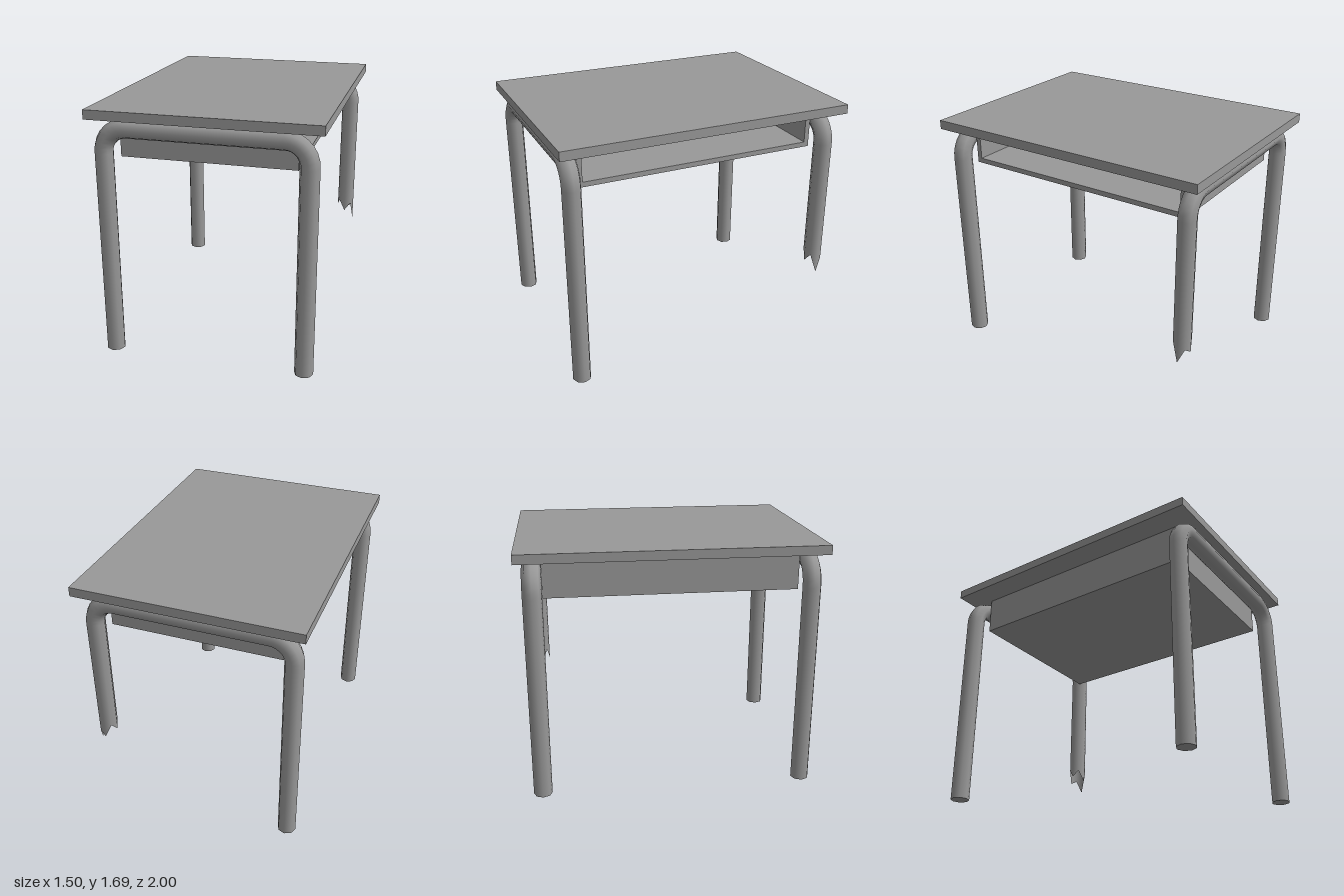
import * as THREE from 'three';

const R = 0.063, SIDES = 8, STEPS = 120;
const LEG_X = 0.6575, RAIL_Y = 1.56, BEND = 0.15, SHIFT = -0.005;

export function createModel() {
  const group = new THREE.Group();
  const mat = new THREE.MeshStandardMaterial({ color: 0x999999 });
  const openMat = new THREE.MeshStandardMaterial({ color: 0x999999, side: THREE.DoubleSide });

  const add = (parent, name, geo, material = mat) => {
    const mesh = new THREE.Mesh(geo, material);
    mesh.name = name;
    parent.add(mesh);
    return mesh;
  };
  // Box given by its lower and upper limits
  const box = (parent, name, [x0, x1], [y0, y1], [z0, z1]) =>
    add(parent, name, new THREE.BoxGeometry(x1 - x0, y1 - y0, z1 - z0))
      .position.set((x0 + x1) / 2, (y0 + y1) / 2, (z0 + z1) / 2);

  // Inverted-U tube from the right foot over the rail to the left end
  const frameTube = (leftEndY) => {
    const v = (x, y) => new THREE.Vector3(x, y, 0);
    const path = new THREE.CurvePath();
    const k = BEND * 0.5523, top = RAIL_Y, low = top - BEND, inX = LEG_X - BEND;
    path.add(new THREE.LineCurve3(v(-LEG_X, 0), v(-LEG_X, low)));
    path.add(new THREE.CubicBezierCurve3(v(-LEG_X, low), v(-LEG_X, low + k), v(-inX - k, top), v(-inX, top)));
    path.add(new THREE.LineCurve3(v(-inX, top), v(inX, top)));
    path.add(new THREE.CubicBezierCurve3(v(inX, top), v(inX + k, top), v(LEG_X, low + k), v(LEG_X, low)));
    path.add(new THREE.LineCurve3(v(LEG_X, low), v(LEG_X, leftEndY)));
    return new THREE.TubeGeometry(path, STEPS, R, SIDES, false);
  };
  const footCap = (parent, x) => {
    const cap = add(parent, 'footCap', new THREE.CircleGeometry(R, SIDES).rotateX(Math.PI / 2));
    cap.position.x = x;
  };

  // Table top
  box(group, 'tableTop', [-0.75, 0.75], [1.625, 1.687], [-1, 1]);

  // Storage tray under the top, open towards +x
  const tray = new THREE.Group();
  tray.name = 'storageTray';
  const X = [-0.577, 0.573], Y = [1.358, 1.625], Z = [-0.832, 0.845], t = 0.034, ceilY = 1.597;
  box(tray, 'trayFloor', X, [Y[0], Y[0] + t], Z);
  box(tray, 'trayCeiling', X, [ceilY, Y[1]], Z);
  box(tray, 'trayBackEnd', X, [Y[0] + t, ceilY], [Z[0], Z[0] + t]);
  box(tray, 'trayFrontEnd', X, [Y[0] + t, ceilY], [Z[1] - t, Z[1]]);
  box(tray, 'trayClosedSide', [X[0], X[0] + t], [Y[0] + t, ceilY], [Z[0] + t, Z[1] - t]);
  group.add(tray);

  // Front leg frame, whole
  const front = new THREE.Group();
  front.name = 'frontLegFrame';
  front.position.set(SHIFT, 0, 0.91);
  add(front, 'frontLegs', frameTube(0), openMat);
  footCap(front, -LEG_X);
  footCap(front, LEG_X);
  group.add(front);

  // Back leg frame, left leg snapped off with a jagged hollow end
  const back = new THREE.Group();
  back.name = 'backLegFrame';
  back.position.set(SHIFT, 0, -0.894);
  const geo = frameTube(0.6);
  const jag = [0.41, 0.51, 0.48, 0.58, 0.52, 0.57, 0.49, 0.55]; // from +x turning to -z
  const pos = geo.attributes.position;
  for (let i = STEPS * (SIDES + 1); i < pos.count; i++) {
    const a = Math.atan2(-pos.getZ(i), pos.getX(i) - LEG_X);
    pos.setY(i, jag[(Math.round(a / (Math.PI / 4)) + SIDES) % SIDES]);
  }
  add(back, 'backLegs', geo, openMat);
  footCap(back, -LEG_X);
  group.add(back);

  return group;
}
